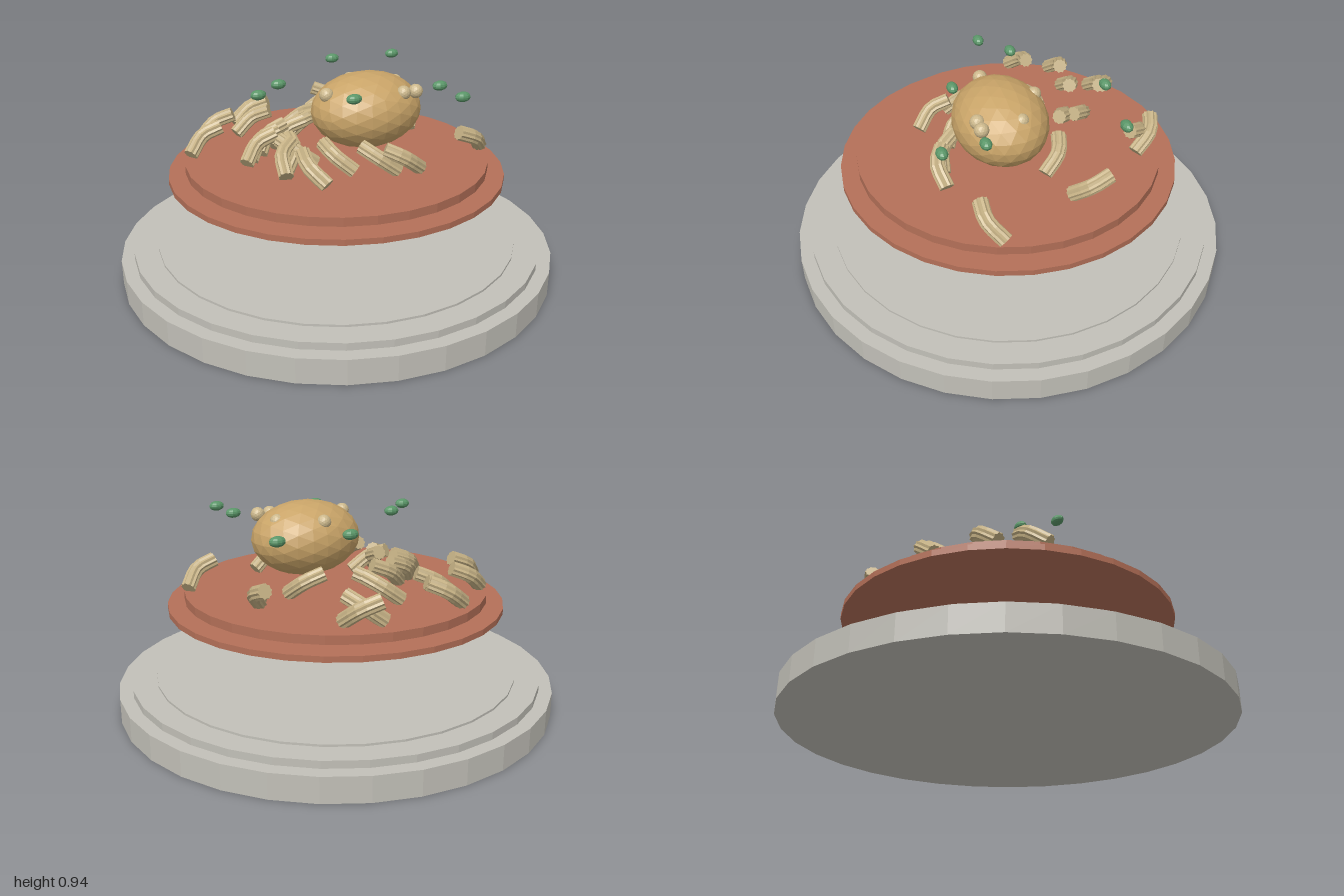
import * as THREE from 'three';

const mat = (name, color) => {
  const m = new THREE.MeshStandardMaterial({ color });
  m.name = name;
  m.flatShading = true;
  return m;
};

export function createModel() {
  const model = new THREE.Group();
  const grey = mat('plate grey', 0xc2c0b8);
  const red = mat('sauce red', 0xb47058);
  const gold = mat('meatball gold', 0xc9a468);
  const cream = mat('crumb cream', 0xccb88c);
  const straw = mat('pasta straw', 0xc4b084);
  const green = mat('herb green', 0x5a9668);

  const add = (name, geometry, material, x = 0, y = 0, z = 0) => {
    const mesh = new THREE.Mesh(geometry, material);
    mesh.name = name;
    mesh.position.set(x, y, z);
    model.add(mesh);
    return mesh;
  };
  const disc = (name, material, r, y0, y1) =>
    add(name, new THREE.CylinderGeometry(r, r, y1 - y0, 32), material, 0, (y0 + y1) / 2, 0);

  // Stepped plate and the two floating sauce layers
  disc('plateBase', grey, 1, 0, 0.113);
  disc('plateRim', grey, 0.94, 0.113, 0.146);
  disc('plateWell', grey, 0.83, 0.146, 0.156);
  disc('lowerSauce', red, 0.762, 0.465, 0.491);
  disc('upperSauce', red, 0.686, 0.508, 0.547);

  // Large faceted ball with crumbs on its top
  add('meatball', new THREE.IcosahedronGeometry(1, 3), gold, 0.112, 0.768, 0.075)
    .scale.set(0.255, 0.168, 0.207);
  const crumb = new THREE.IcosahedronGeometry(0.032, 2);
  [[0.105, -0.08], [-0.093, 0.1], [0.225, 0.21], [0.285, 0.21], [0.275, 0.035]]
    .forEach(([x, z]) => add('crumb', crumb, cream, x, 0.865, z));

  // Herb flecks hovering at one height
  const herb = new THREE.SphereGeometry(1, 10, 8);
  [[-0.375, 0.02], [-0.24, -0.09], [-0.03, 0.243], [0.157, -0.388],
    [0.465, -0.347], [0.397, 0.227], [0.401, 0.407]]
    .forEach(([x, z]) => add('herb', herb, green, x, 0.88, z).scale.set(0.036, 0.022, 0.025));

  // Ridged cross-section shared by all the pasta
  const ridges = new THREE.Shape(Array.from({ length: 20 }, (_, i) => {
    const a = (i / 20) * Math.PI * 2, r = i % 2 ? 0.029 : 0.034;
    return new THREE.Vector2(Math.cos(a) * r, Math.sin(a) * r);
  }));
  // One bent piece climbing through its middle (x, z), turning by bend degrees each way
  const pasta = (x, z, heading, bend) => {
    const point = (y, reach, degrees) => {
      const a = THREE.MathUtils.degToRad(degrees);
      return new THREE.Vector3(x + reach * Math.cos(a), y, z + reach * Math.sin(a));
    };
    const path = new THREE.CatmullRomCurve3([
      point(0.565, -0.09, heading - bend), point(0.63, 0, 0), point(0.665, 0.085, heading + bend),
    ]);
    add('pasta', new THREE.ExtrudeGeometry(ridges, { steps: 6, extrudePath: path }), straw);
  };
  // Pieces curving clockwise seen from above: middle x, z and heading
  [[-0.22, -0.54, 5], [-0.21, -0.57, 12], [-0.44, -0.42, 0], [-0.26, -0.41, 8],
    [-0.55, -0.26, -14], [-0.01, -0.37, 35], [-0.02, -0.29, 25], [0.2, -0.56, 40],
    [0.56, 0.28, 160], [0.15, 0.37, -170], [0.05, 0.32, -145], [-0.26, 0.29, -105],
    [-0.11, 0.22, -123], [-0.27, -0.16, -25], [-0.17, -0.19, -8], [-0.36, -0.06, -18],
    [-0.33, -0.1, -22], [-0.31, 0.12, -58], [-0.24, 0.09, -145]]
    .forEach(([x, z, heading]) => pasta(x, z, heading, 20));
  // Pieces curving the other way
  [[0.23, -0.59, -135], [0.5, -0.2, -74], [-0.24, 0.08, -66], [0.24, -0.15, -140]]
    .forEach(([x, z, heading]) => pasta(x, z, heading, -20));
  return model;
}
